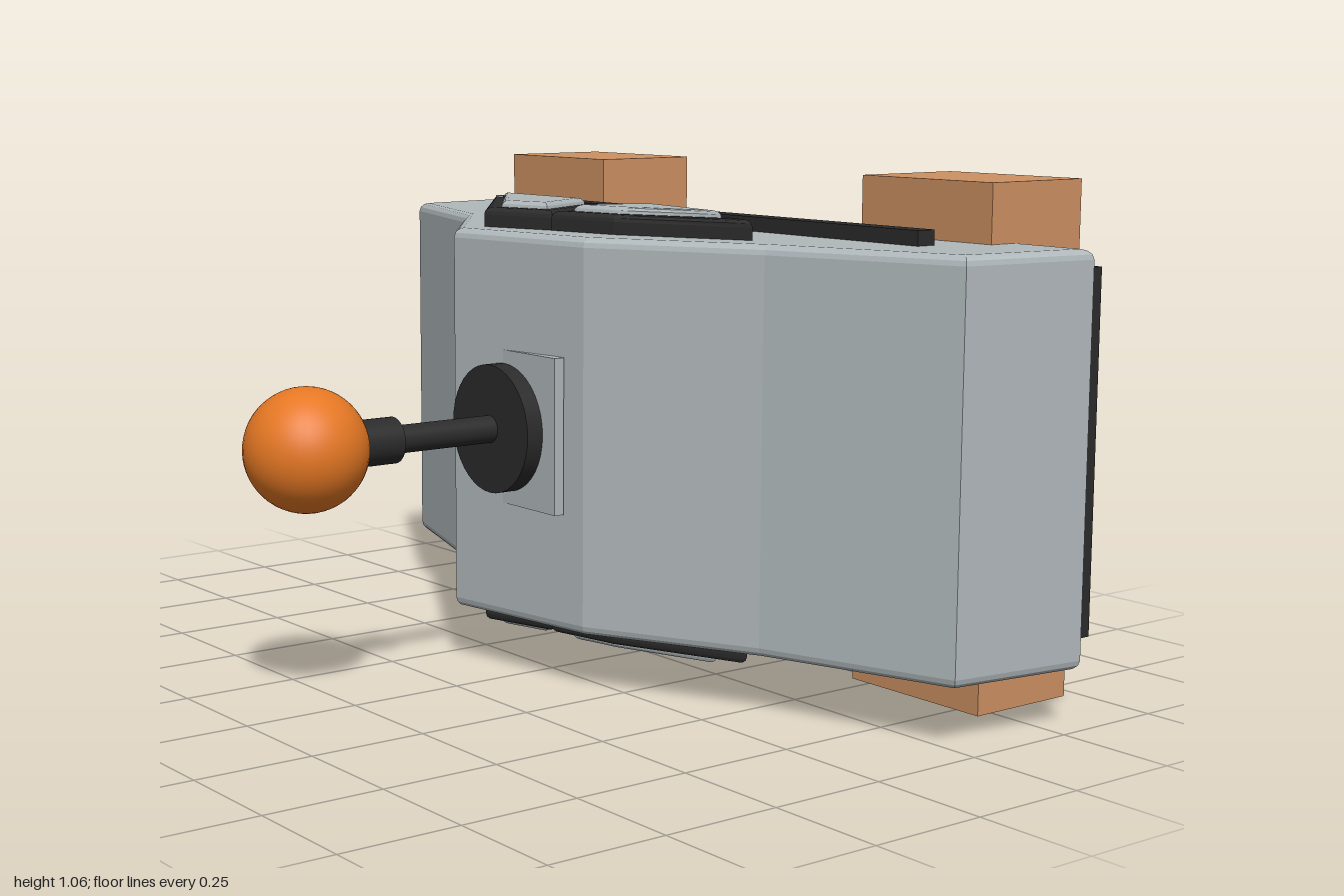
import * as THREE from 'three';

const MID = 0.5325; // height of the mirror plane between top and bottom

export function createModel() {
  const group = new THREE.Group();
  const mat = (name, color) => {
    const m = new THREE.MeshStandardMaterial({ color });
    m.name = name;
    return m;
  };
  const grey = mat('shell grey', 0xb0b8bb);
  const dark = mat('dark rubber', 0x2b2b2b);
  const wood = mat('tan block', 0xcd9062);
  const orange = mat('orange knob', 0xe67824);

  const add = (name, geo, material, x = 0, y = 0, z = 0) => {
    const mesh = new THREE.Mesh(geo, material);
    mesh.name = name;
    mesh.position.set(x, y, z);
    group.add(mesh);
    return mesh;
  };

  // box given by its limits on each axis
  const box = (name, material, [x0, x1], [y0, y1], [z0, z1]) =>
    add(name, new THREE.BoxGeometry(x1 - x0, y1 - y0, z1 - z0), material,
      (x0 + x1) / 2, (y0 + y1) / 2, (z0 + z1) / 2);

  // bevelled prism with an outline in (x, z), reaching equally above and below MID
  const slab = (name, material, outline, half, bevel) => {
    const shape = new THREE.Shape(outline.map(([x, z]) => new THREE.Vector2(x, -z)));
    const geo = new THREE.ExtrudeGeometry(shape, {
      depth: 2 * (half - bevel), bevelThickness: bevel, bevelSize: bevel,
      bevelOffset: -bevel, bevelSegments: 3,
    });
    geo.translate(0, 0, bevel - half);
    geo.rotateX(-Math.PI / 2);
    return add(name, geo, material, 0, MID, 0);
  };

  // faceted main shell
  slab('shell', grey, [
    [-0.96, -0.545], [0.995, -0.545], [0.955, -0.24], [0.55, -0.105],
    [0.2, 0.07], [-0.18, 0.127], [-0.53, -0.14], [-0.925, -0.275],
  ], 0.412, 0.02);

  // window frames and raised inserts, showing on both the top and the bottom
  slab('leftFrame', dark, [[0.075, -0.227], [0.455, -0.157], [0.17, -0.03], [0, 0.003]], 0.453, 0.015);
  slab('leftInsert', grey, [[0.088, -0.195], [0.375, -0.145], [0.155, -0.053], [0.035, -0.03]], 0.467, 0.015);
  slab('rightFrame', dark, [[-0.49, -0.195], [-0.11, -0.217], [0, 0], [-0.175, 0.052]], 0.453, 0.015);
  slab('rightInsert', grey, [[-0.41, -0.168], [-0.13, -0.185], [-0.045, -0.02], [-0.165, 0.014]], 0.467, 0.015);

  // long strip showing on both the top and the bottom
  box('strip', dark, [-0.63, 0.75], [0.09, 0.975], [-0.365, -0.32]);

  // back panel
  box('backPanel', dark, [-0.9, 0.935], [0.163, 0.902], [-0.638, -0.54]);

  // four corner blocks
  for (const [x0, x1] of [[-0.78, -0.42], [0.45, 0.81]])
    for (const y of [[0, 0.174], [0.891, 1.065]])
      box('cornerBlock', wood, [x0, x1], y, [-0.715, -0.46]);

  // upright rails on the right end
  box('rearRail', grey, [-1, -0.92], [0.115, 0.95], [-0.592, -0.56]);
  box('middleRail', dark, [-1, -0.92], [0.148, 0.917], [-0.517, -0.48]);
  box('frontRail', grey, [-1, -0.92], [0.18, 0.885], [-0.44, -0.4]);

  // mounting plate and knob assembly on the front
  box('mountPlate', grey, [-0.2, 0.15], [0.37, 0.697], [0.082, 0.105]);
  const rod = (name, r, z0, z1) => {
    const geo = new THREE.CylinderGeometry(r, r, z1 - z0, 40);
    geo.rotateX(Math.PI / 2);
    add(name, geo, dark, -0.028, MID, (z0 + z1) / 2);
  };
  rod('baseDisc', 0.136, 0.09, 0.143);
  rod('shaft', 0.029, 0.14, 0.5);
  rod('collar', 0.048, 0.383, 0.49);
  add('knob', new THREE.SphereGeometry(0.127, 40, 28), orange, -0.028, MID, 0.588);

  return group;
}
